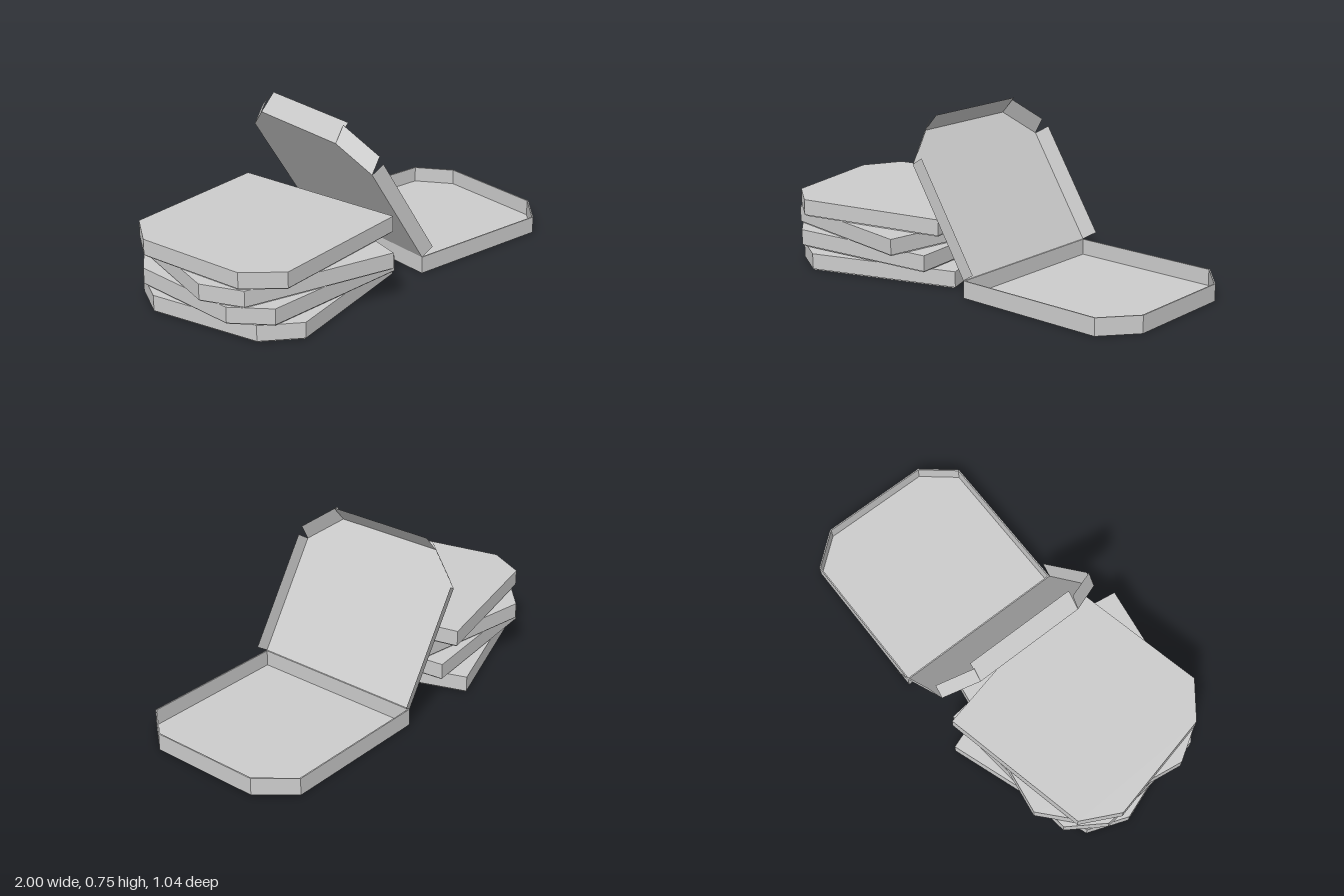
import * as THREE from 'three';

const HALF = 0.425, LENGTH = 0.85, CUT_X = 0.13, CUT_Z = 0.157;
const mat = new THREE.MeshStandardMaterial({ color: 0xcccccc, flatShading: true });
const sheetMat = new THREE.MeshStandardMaterial({ color: 0xcccccc, flatShading: true, side: THREE.DoubleSide });

// Box footprint: hinge edge on x = 0, cut corners at the -x end
function outline(inset = 0) {
  const h = HALF - inset, l = LENGTH - inset, c = inset * 0.45;
  return [
    [-inset, -h], [-inset, h], [-(LENGTH - CUT_X) + c, h], [-l, HALF - CUT_Z - c],
    [-l, -(HALF - CUT_Z - c)], [-(LENGTH - CUT_X) + c, -h],
  ].map(([x, y]) => new THREE.Vector2(x, y));
}

// Vertical prism of the footprint between two heights, optionally hollow
function prism(name, y0, y1, inset = 0, wall = 0) {
  const shape = new THREE.Shape(outline(inset));
  if (wall) shape.holes.push(new THREE.Path(outline(inset + wall)));
  const geo = new THREE.ExtrudeGeometry(shape, { depth: y1 - y0, bevelEnabled: false });
  geo.rotateX(-Math.PI / 2).translate(0, y0, 0);
  const mesh = new THREE.Mesh(geo, mat);
  mesh.name = name;
  return mesh;
}

// Thin convex card from its corner points
function card(name, pts) {
  const geo = new THREE.BufferGeometry();
  geo.setAttribute('position', new THREE.Float32BufferAttribute(pts.flat(), 3));
  const index = [];
  for (let i = 1; i < pts.length - 1; i++) index.push(0, i, i + 1);
  geo.setIndex(index);
  geo.computeVertexNormals();
  const mesh = new THREE.Mesh(geo, sheetMat);
  mesh.name = name;
  return mesh;
}

function closedBox(name) {
  const box = new THREE.Group();
  box.name = name;
  box.add(prism('boxBase', 0, 0.01, 0.006), prism('boxCover', 0.006, 0.079));
  return box;
}

function openBox() {
  const box = new THREE.Group();
  box.name = 'openBox';
  box.position.set(0.15, 0, -0.07);

  // Tray with floor and low walls
  const tray = new THREE.Group();
  tray.name = 'tray';
  tray.rotation.y = Math.PI;
  tray.add(prism('trayFloor', 0, 0.005), prism('trayWalls', 0.005, 0.08, 0, 0.006));
  box.add(tray);

  // Lid: local y runs along the panel, local x is its inner side
  const lid = new THREE.Group();
  lid.name = 'lid';
  lid.position.y = 0.08;
  lid.rotation.z = 0.563;
  const end = 0.7, cut = 0.562, z = HALF, zc = HALF - CUT_Z;
  const rim = [[0, 0, z], [0, cut, z], [0, end, zc], [0, end, -zc], [0, cut, -z], [0, 0, -z]];
  lid.add(card('lidPanel', rim));

  // Flaps folded from the five free edges, each with its own outward lean
  const flaps = [
    ['leftFlap', 0.07, 0, 0.005],
    ['leftCornerFlap', 0.0755, 0.041, 0],
    ['frontFlap', 0.102, 0.03, 0],
    ['rightCornerFlap', 0.0755, 0.041, 0],
    ['rightFlap', 0.07, 0, -0.025],
  ];
  flaps.forEach(([name, ...o], i) => {
    const a = rim[i], b = rim[i + 1];
    const lift = (p) => p.map((v, k) => v + o[k]);
    lid.add(card(name, [a, b, lift(b), lift(a)]));
  });
  box.add(lid);
  return box;
}

export function createModel() {
  const model = new THREE.Group();
  model.name = 'takeawayBoxes';
  model.add(openBox());

  // Untidy stack: hinge centre x, z, height and turn in degrees
  [
    [-0.105, -0.118, 0.0, 19.2],
    [-0.098, -0.028, 0.083, 6.4],
    [-0.088, 0.08, 0.163, -8.4],
    [-0.107, -0.075, 0.243, 12.7],
  ].forEach(([x, z, y, deg], i) => {
    const box = closedBox('stackedBox' + (i + 1));
    box.position.set(x, y, z);
    box.rotation.y = THREE.MathUtils.degToRad(deg);
    model.add(box);
  });
  return model;
}
